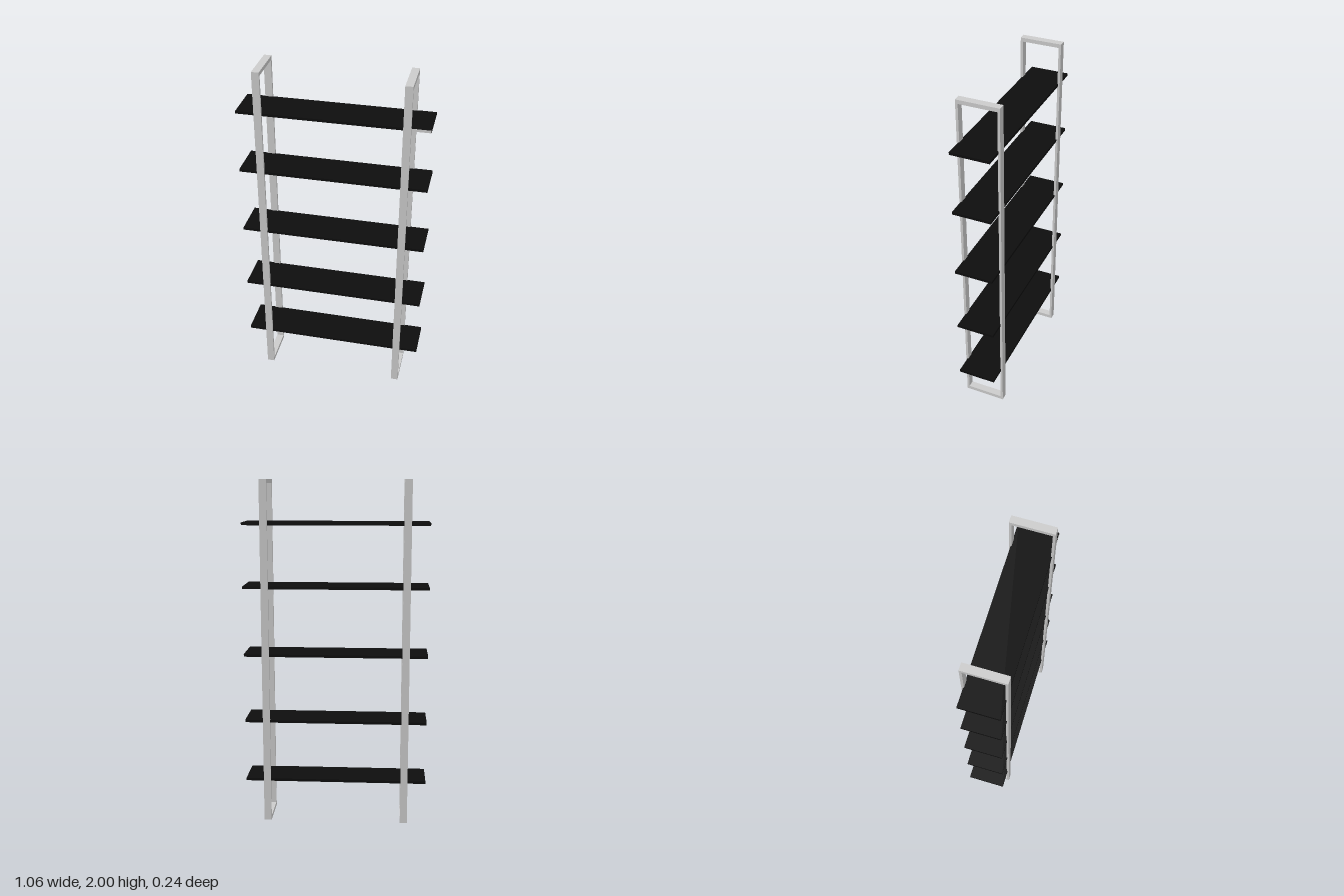
import * as THREE from 'three';

const HEIGHT = 2;
const FRAME_DEPTH = 0.24, FRAME_WIDTH = 0.042, FRAME_X = 0.404;
const POST = 0.014, RAIL = 0.022;
const SHELF_LENGTH = 1.06, SHELF_THICKNESS = 0.015, SHELF_DEPTH = 0.222;
const SHELF_HEIGHTS = [0.251, 0.61, 1.003, 1.396, 1.755];

// Upright rectangular loop: slim posts front and back, thicker rails top and bottom
function frameGeometry() {
  const d = FRAME_DEPTH / 2, inner = d - POST;
  const shape = new THREE.Shape([
    new THREE.Vector2(-d, 0), new THREE.Vector2(d, 0),
    new THREE.Vector2(d, HEIGHT), new THREE.Vector2(-d, HEIGHT),
  ]);
  shape.holes.push(new THREE.Path([
    new THREE.Vector2(-inner, RAIL), new THREE.Vector2(-inner, HEIGHT - RAIL),
    new THREE.Vector2(inner, HEIGHT - RAIL), new THREE.Vector2(inner, RAIL),
  ]));
  return new THREE.ExtrudeGeometry(shape, { depth: FRAME_WIDTH, bevelEnabled: false })
    .translate(0, 0, -FRAME_WIDTH / 2)
    .rotateY(Math.PI / 2);
}

export function createModel() {
  const model = new THREE.Group();
  model.name = 'shelvingUnit';
  const grey = new THREE.MeshStandardMaterial({ color: 0xcccccc });
  const black = new THREE.MeshStandardMaterial({ color: 0x0d0d0d });

  function add(name, geometry, material, x, y, z) {
    const mesh = new THREE.Mesh(geometry, material);
    mesh.name = name;
    mesh.position.set(x, y, z);
    model.add(mesh);
  }

  // Two side frames
  const frame = frameGeometry();
  add('leftFrame', frame, grey, FRAME_X, 0, 0);
  add('rightFrame', frame, grey, -FRAME_X, 0, 0);

  // Shelves threaded through both frames
  const shelf = new THREE.BoxGeometry(SHELF_LENGTH, SHELF_THICKNESS, SHELF_DEPTH);
  SHELF_HEIGHTS.forEach((y, i) => add(`shelf${i + 1}`, shelf, black, 0, y, 0));

  // Grey edge strip on the front of the top shelf's left overhang
  const start = FRAME_X + FRAME_WIDTH / 2, length = SHELF_LENGTH / 2 - start;
  add('topShelfEdgeStrip', new THREE.BoxGeometry(length, SHELF_THICKNESS, 0.001), grey,
    start + length / 2, SHELF_HEIGHTS[4], SHELF_DEPTH / 2 + 0.0005);

  return model;
}
